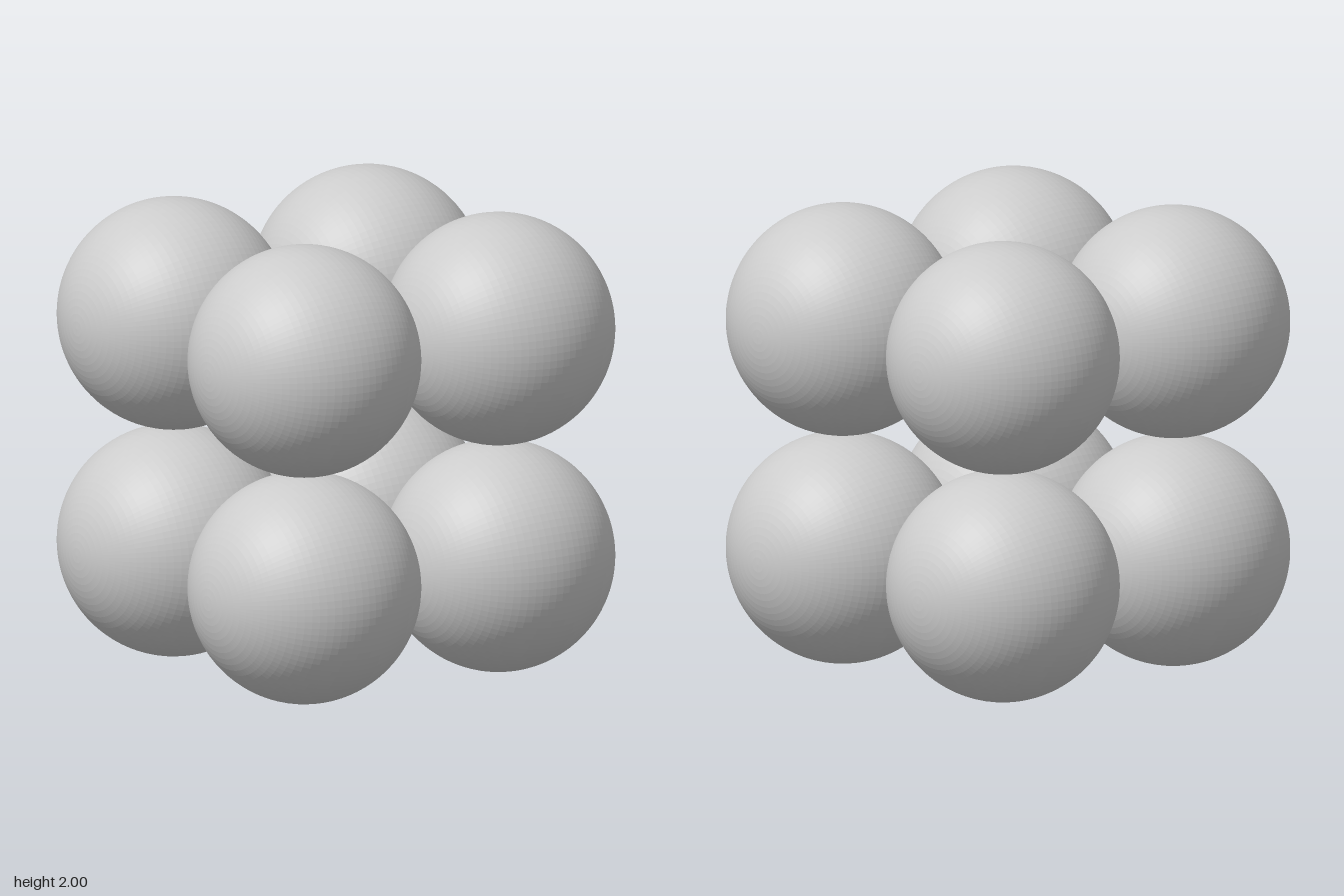
import * as THREE from 'three';

const RADIUS = 0.5;

export function createModel() {
  const model = new THREE.Group();
  model.name = 'sphereCluster';

  const material = new THREE.MeshStandardMaterial({ color: 0xcccccc, flatShading: true });

  // Finely faceted ball with its poles on the x axis
  const ball = new THREE.SphereGeometry(RADIUS, 96, 48);
  ball.rotateZ(Math.PI / 2);

  // Two by two by two stack of touching balls
  for (const [level, y] of [['lower', RADIUS], ['upper', 3 * RADIUS]]) {
    for (const [depth, z] of [['Front', RADIUS], ['Back', -RADIUS]]) {
      for (const [side, x] of [['Left', RADIUS], ['Right', -RADIUS]]) {
        const sphere = new THREE.Mesh(ball, material);
        sphere.name = `${level}${depth}${side}Sphere`;
        sphere.position.set(x, y, z);
        model.add(sphere);
      }
    }
  }
  return model;
}
